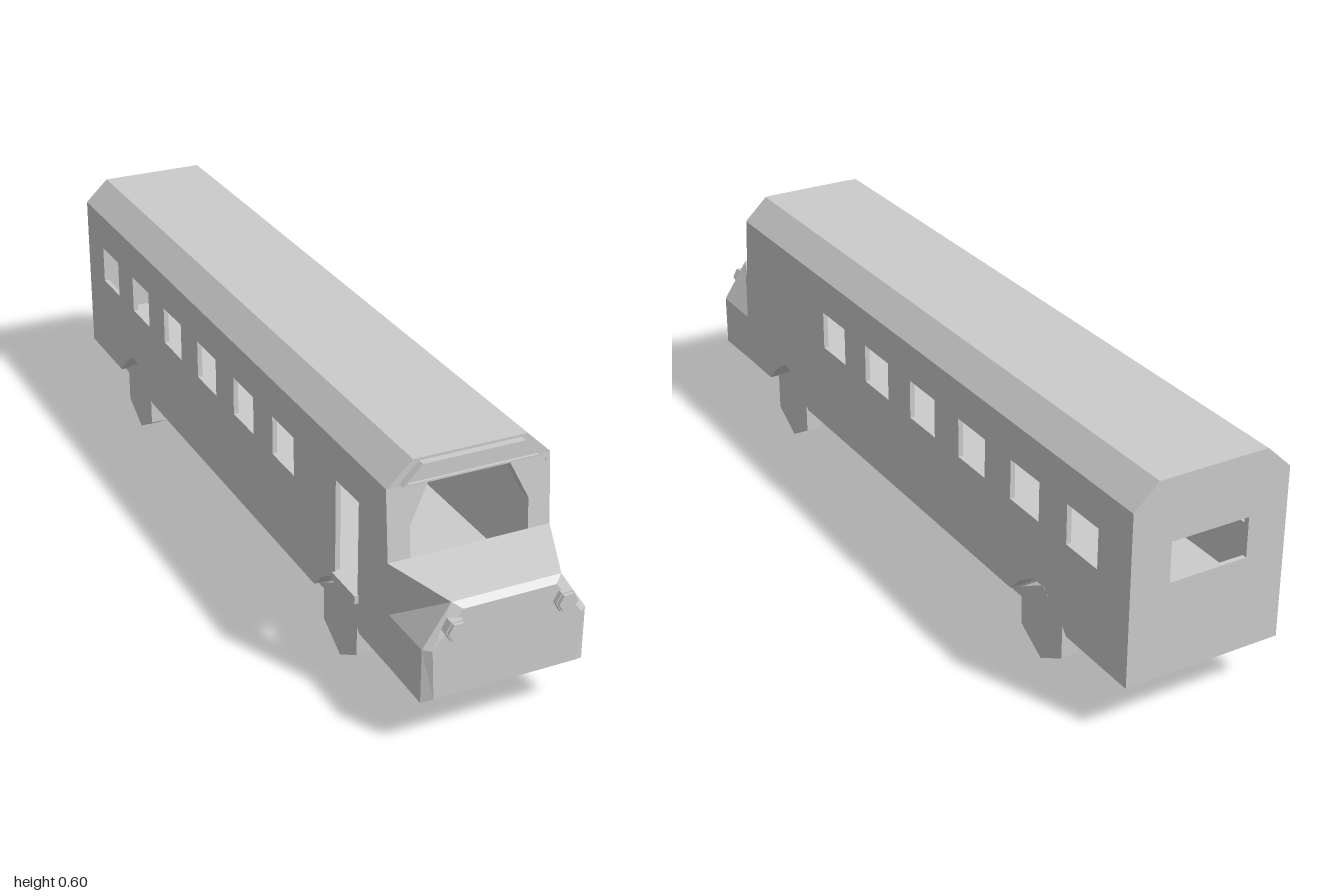
import * as THREE from 'three';

const material = new THREE.MeshStandardMaterial({ color: 0xcccccc, flatShading: true, side: THREE.DoubleSide });
const HALF = 0.195, WALL = 0.012, SHOULDER = 0.54, TOP = 0.597, FLOOR = 0.21;
const AXLES = [0.573, -0.663];

const toShape = (pts) => new THREE.Shape(pts.map(([a, b]) => new THREE.Vector2(a, b)));
const rect = (a0, a1, b0, b1) => [[a0, b0], [a1, b0], [a1, b1], [a0, b1]];

// Extrudes an (x, y) outline forward from z0 to z1
function alongZ(pts, z0, z1, holes = []) {
  const shape = toShape(pts);
  shape.holes = holes.map(toShape);
  return new THREE.ExtrudeGeometry(shape, { depth: z1 - z0, bevelEnabled: false }).translate(0, 0, z0);
}

// Extrudes a (z, y) outline sideways from x0 to x1
function alongX(pts, x0, x1, holes = []) {
  return alongZ(pts, 0, x1 - x0, holes).rotateY(-Math.PI / 2).translate(x1, 0, 0);
}

function box(x0, x1, y0, y1, z0, z1) {
  return new THREE.BoxGeometry(x1 - x0, y1 - y0, z1 - z0)
    .translate((x0 + x1) / 2, (y0 + y1) / 2, (z0 + z1) / 2);
}

// Lower edge of the body side, rising over each wheel
function lowerEdge() {
  const pts = [[-1, 0.125]];
  for (const z of [...AXLES].reverse()) {
    for (const [dz, y] of [[-0.113, 0.125], [-0.075, 0.165], [-0.02, 0.2], [0.02, 0.2], [0.075, 0.165], [0.113, 0.125]])
      pts.push([z + dz, y]);
  }
  pts.push([0.81, 0.125]);
  return pts;
}

// Faceted nose: faces of the +x half, mirrored to the other half
function hoodGeometry() {
  const p = {
    A: [HALF, 0.372, 0.81], B: [0.13, 0.35, 0.965], C: [HALF, 0.252, 0.82],
    D: [HALF, 0.252, 0.965], E: [HALF, 0.122, 0.965], F: [HALF, 0.125, 0.81],
    b: [0.11, 0.337, 0.98], d: [0.178, 0.252, 0.98], e: [0.172, 0.133, 0.98],
  };
  // A trailing 0 means the same point moved to the centre line
  const faces = ['A0 B0 B A', 'B0 b0 b B', 'b0 e0 e d b', 'B b d D', 'D d e E', 'e e0 E0 E',
    'A B C', 'B D C', 'C D E F', 'A C F', 'F E E0 F0', 'A0 A F F0'];
  const pos = [];
  for (const face of faces) {
    const c = face.split(' ').map((n) => {
      const [x, y, z] = p[n[0]];
      return [n.length > 1 ? 0 : x, y, z];
    });
    for (let i = 1; i < c.length - 1; i++) {
      pos.push(...c[0], ...c[i], ...c[i + 1]);
      for (const [x, y, z] of [c[0], c[i + 1], c[i]]) pos.push(-x, y, z);
    }
  }
  const g = new THREE.BufferGeometry();
  g.setAttribute('position', new THREE.Float32BufferAttribute(pos, 3));
  g.computeVertexNormals();
  return g;
}

// Six-sided wheel with a hollow inner side
function wheelGeometry(side) {
  const pts = [[0, 0.03], [0.05, 0.03], [0.05, 0], [0.095, 0], [0.095, 0.043], [0, 0.043]];
  return new THREE.LatheGeometry(pts.map(([r, y]) => new THREE.Vector2(r, y)), 6)
    .rotateZ(-side * Math.PI / 2).rotateX(Math.PI / 6);
}

export function createModel() {
  const bus = new THREE.Group();
  bus.name = 'bus';
  const add = (name, geometry) => {
    const mesh = new THREE.Mesh(geometry, material);
    mesh.name = name;
    bus.add(mesh);
    return mesh;
  };

  // Side walls with six windows each; the right one also has the door
  const wall = [...lowerEdge(), [0.81, 0.372], [0.795, SHOULDER], [-1, SHOULDER]];
  const windows = [];
  for (let i = 0; i < 6; i++) {
    const z = 0.293 - i * 0.2235;
    windows.push(rect(z - 0.058, z + 0.058, 0.35, 0.447));
  }
  const door = rect(0.565, 0.675, 0.22, 0.447);
  add('leftWall', alongX(wall, HALF - WALL, HALF, windows));
  add('rightWall', alongX(wall, -HALF, WALL - HALF, [...windows, door]));
  add('doorStep', box(-0.205, -0.18, 0.2, 0.22, 0.57, 0.68));

  // Floor block and wheel-well skirts
  add('floor', box(-0.142, 0.142, 0.125, FLOOR, -0.99, 0.81));
  const skirt = [...lowerEdge(), [0.81, FLOOR], [-0.99, FLOOR]];
  skirt[0] = [-0.99, 0.125];
  add('leftSkirt', alongX(skirt, 0.142, HALF - WALL));
  add('rightSkirt', alongX(skirt, WALL - HALF, -0.142));

  // Back wall with its window
  const inner = HALF - WALL;
  const back = [[-inner, 0.125], [inner, 0.125], [inner, SHOULDER], [0.13, 0.585], [-0.13, 0.585], [-inner, SHOULDER]];
  add('backWall', alongZ(back, -1, -1 + WALL, [rect(-0.097, 0.097, 0.35, 0.447)]));

  // Roof shell with sloped shoulders, closed at the front
  const roofOuter = [[HALF, SHOULDER], [0.135, TOP], [-0.135, TOP], [-HALF, SHOULDER]];
  const roofInner = [[-inner, SHOULDER], [-0.13, 0.585], [0.13, 0.585], [inner, SHOULDER]];
  add('roof', alongZ([...roofOuter, ...roofInner], -1, 0.77));
  add('roofFront', alongZ(roofOuter, 0.77, 0.797));

  // Raised frame and panel above the windscreen
  const panel = [[-0.155, 0.55], [0.155, 0.55], [0.117, 0.587], [-0.117, 0.587]];
  add('signFrame', alongZ([[-0.166, 0.546], [0.166, 0.546], [0.121, 0.591], [-0.121, 0.591]], 0.795, 0.814, [panel]));
  add('signPanel', alongZ(panel, 0.795, 0.807));

  // Windscreen pillars, leaning back with height
  for (const s of [1, -1]) {
    const pts = [[0.142, 0.372], [inner, 0.372], [inner, SHOULDER], [0.095, SHOULDER], [0.142, 0.445]];
    const g = alongZ(pts.map(([x, y]) => [s * x, y]), 0.78, 0.81);
    const pos = g.attributes.position;
    for (let i = 0; i < pos.count; i++) pos.setZ(i, pos.getZ(i) - (pos.getY(i) - 0.372) * 0.09);
    g.computeVertexNormals();
    add(s > 0 ? 'leftPillar' : 'rightPillar', g);
  }

  add('hood', hoodGeometry());

  // Chassis rails and a deeper centre beam with a raked front
  add('chassis', alongX([[-0.885, 0.065], [0.45, 0.065], [0.5, 0.083], [0.5, 0.126], [-0.885, 0.126]], -0.142, 0.142));
  add('chassisFront', alongX([[0.44, 0.065], [0.66, 0.105], [0.82, 0.105], [0.82, 0.126], [0.44, 0.126]], -0.095, 0.095));
  add('frontPlate', box(-0.142, 0.142, 0.113, 0.126, 0.5, 0.815));

  // Wheels and headlights
  for (const s of [1, -1]) {
    const label = s > 0 ? 'left' : 'right';
    AXLES.forEach((z, i) => {
      add(label + (i ? 'BackWheel' : 'FrontWheel'), wheelGeometry(s)).position.set(s * 0.142, 0.095, z);
    });
    const hex = (r, len) => new THREE.CylinderGeometry(r, r, len, 6).rotateY(Math.PI / 6).rotateX(Math.PI / 2);
    add(label + 'HeadlightRim', hex(0.026, 0.04)).position.set(s * 0.13, 0.297, 0.972);
    add(label + 'HeadlightLens', hex(0.023, 0.04)).position.set(s * 0.13, 0.297, 0.98);
  }

  bus.children.forEach((m) => { m.position.x += 0.005; });
  return bus;
}
